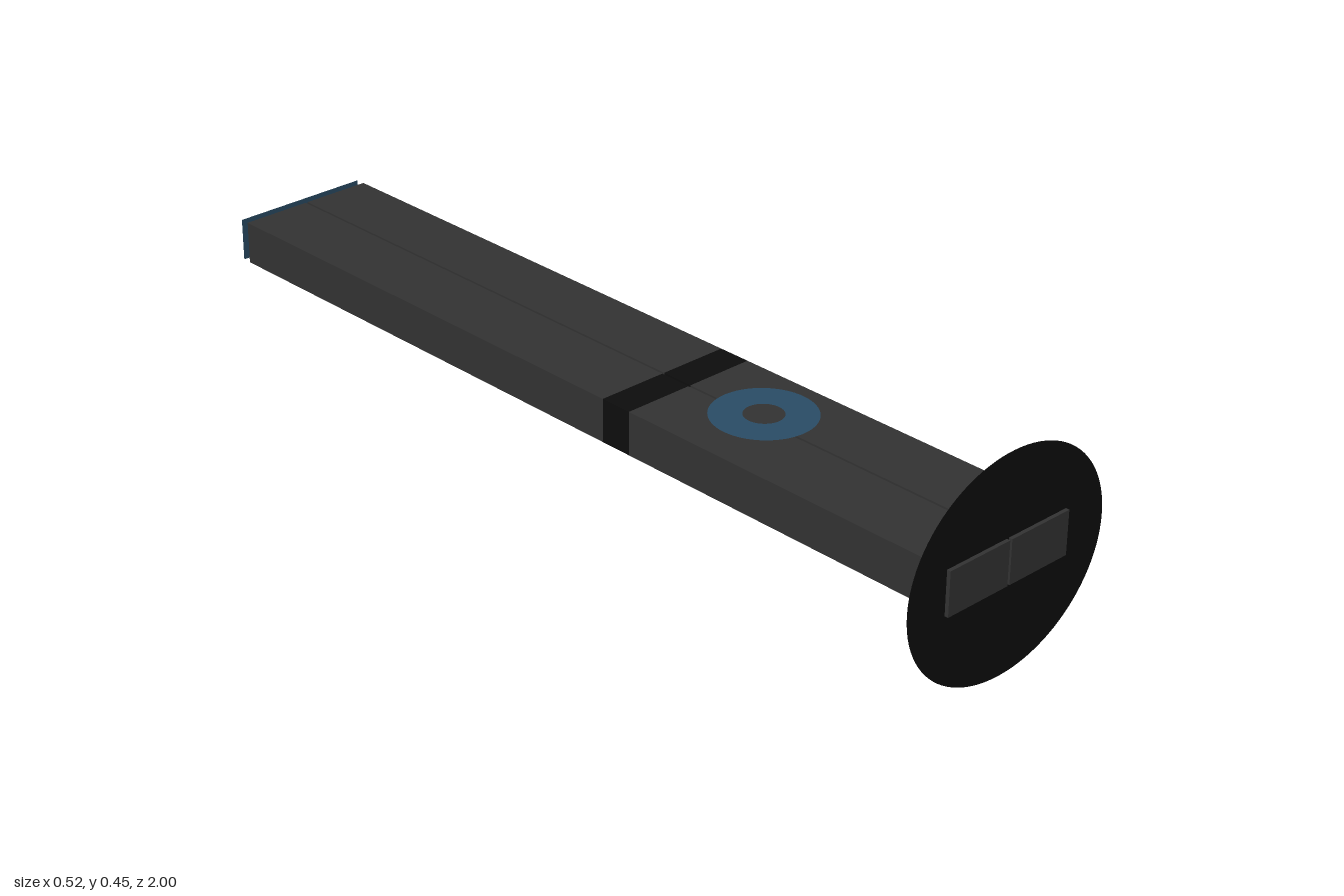
import * as THREE from 'three';

export function createModel() {
  const model = new THREE.Group();
  const mat = (color, side = THREE.FrontSide) => new THREE.MeshStandardMaterial({ color, side });
  const grey = mat(0x333333);
  const black = mat(0x0d0d0d);
  const greySheet = mat(0x333333, THREE.DoubleSide);
  const blackSheet = mat(0x0d0d0d, THREE.DoubleSide);
  const blueSheet = mat(0x2a4d66, THREE.DoubleSide);

  const add = (name, geometry, material, x, y, z) => {
    const mesh = new THREE.Mesh(geometry, material);
    mesh.name = name;
    mesh.position.set(x, y, z);
    model.add(mesh);
    return mesh;
  };

  // Two parallel bars with a narrow slot between them, each with a dark band
  const bottom = 0.188, top = 0.28;
  const midY = (bottom + top) / 2, height = top - bottom;
  const bars = [['right', -0.16, -0.0055], ['left', 0, 0.153]];
  const segments = [
    ['BarFront', 0.202, 1, grey],
    ['BarBand', 0.13, 0.202, black],
    ['BarRear', -0.98, 0.13, grey],
  ];
  for (const [side, x0, x1] of bars) {
    for (const [part, z0, z1, material] of segments) {
      add(side + part, new THREE.BoxGeometry(x1 - x0, height, z1 - z0), material,
        (x0 + x1) / 2, midY, (z0 + z1) / 2);
    }
  }

  // Thin oval plate around the front end
  const plate = add('frontPlate', new THREE.CircleGeometry(1, 96), blackSheet, 0, 0.226, 0.992);
  plate.scale.set(0.258, 0.226, 1);

  // Thin panel just behind the rear end
  add('rearPanel', new THREE.PlaneGeometry(0.313, height), blueSheet, -0.0035, midY, -1);

  // Flat round button floating over the bars: coloured ring and grey centre
  const ring = add('buttonRing', new THREE.RingGeometry(0.04, 0.105, 64), blueSheet, -0.003, 0.296, 0.4);
  const centre = add('buttonCentre', new THREE.CircleGeometry(0.042, 48), greySheet, -0.003, 0.293, 0.4);
  for (const part of [ring, centre]) part.rotation.x = -Math.PI / 2;

  return model;
}
